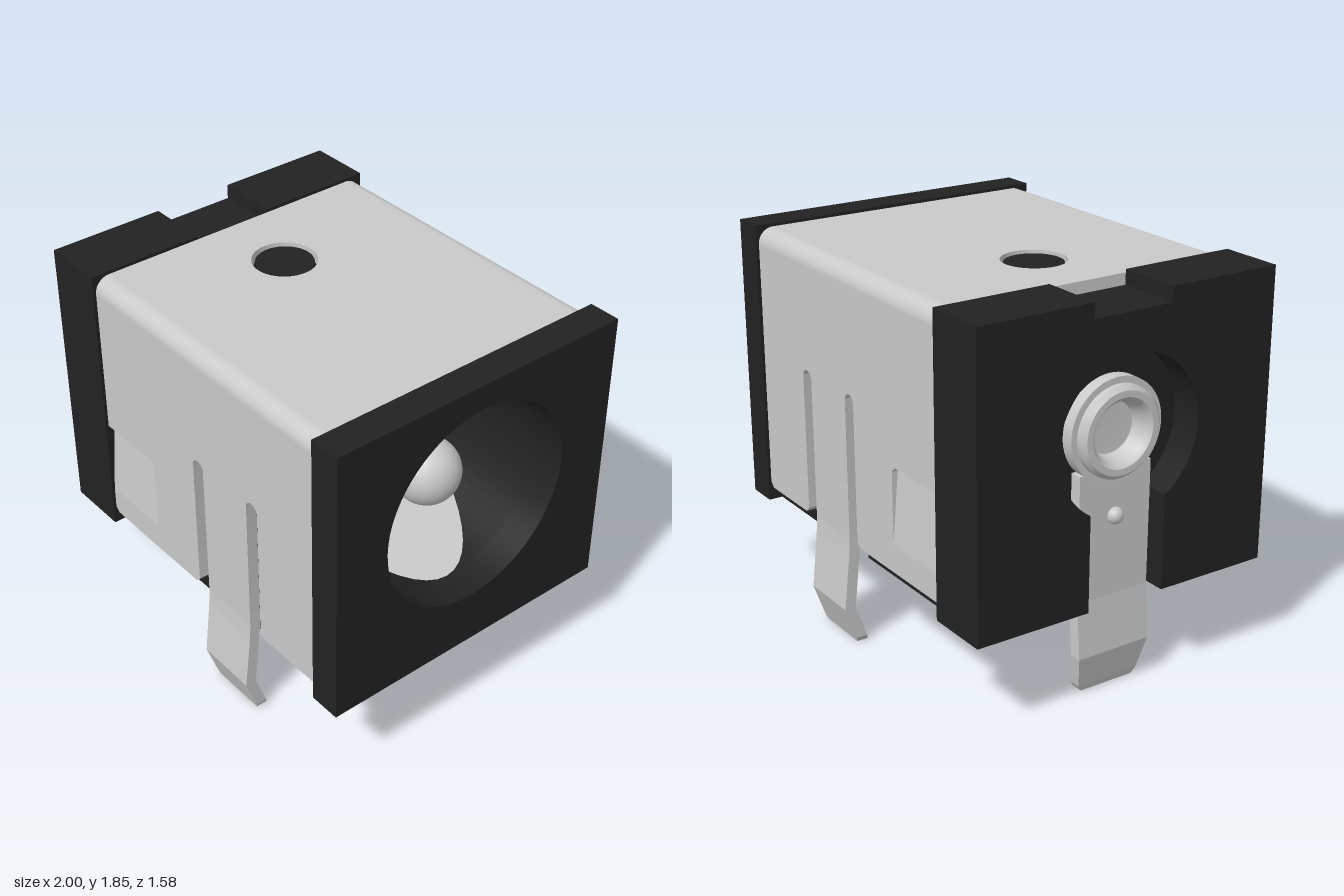
import * as THREE from 'three';
import { toCreasedNormals } from 'three/addons/utils/BufferGeometryUtils.js';

const AXIS_Y = 1.23; // height of the socket axis
const BORE = 0.5;
const SHEET = 0.055; // metal thickness

export function createModel() {
  const model = new THREE.Group();
  const plastic = new THREE.MeshStandardMaterial({ color: 0x222222 });
  plastic.name = 'blackPlastic';
  const metal = new THREE.MeshStandardMaterial({ color: 0xcacaca });
  metal.name = 'palemetal';

  const add = (name, geometry, material, x = 0, y = 0, z = 0) => {
    const mesh = new THREE.Mesh(geometry, material);
    mesh.name = name;
    mesh.position.set(x, y, z);
    model.add(mesh);
    return mesh;
  };
  const poly = (pts) => new THREE.Shape(pts.map(([a, b]) => new THREE.Vector2(a, b)));
  const circle = (x, y, r) => new THREE.Path().absarc(x, y, r, 0, Math.PI * 2, true);
  const extrude = (shape, depth) => toCreasedNormals(
    new THREE.ExtrudeGeometry(shape, { depth, bevelEnabled: false, curveSegments: 32 }), 0.5);
  // cross-section in (z, y) swept along x
  const extrudeX = (shape, x0, x1) => extrude(shape, x1 - x0).rotateY(Math.PI / 2).translate(x0, 0, 0);
  // bent strip; rows run downwards as [y, z offset, half width]
  const strip = (rows, t) => {
    const n = rows.length - 1;
    const g = new THREE.BoxGeometry(1, 1, 1, 1, n, 1);
    const p = g.attributes.position;
    for (let i = 0; i < p.count; i++) {
      const [y, o, hw] = rows[Math.round((0.5 - p.getY(i)) * n)];
      p.setXYZ(i, p.getX(i) * 2 * hw, y, p.getZ(i) * t + o);
    }
    const flat = g.toNonIndexed();
    flat.computeVertexNormals();
    return flat;
  };

  // front plate with the socket opening
  const plate = poly([[-0.77, 0.465], [0.77, 0.465], [0.77, 1.85], [-0.77, 1.85]]);
  plate.holes.push(circle(0, AXIS_Y, BORE));
  add('frontPlate', extrudeX(plate, 0.845, 1), plastic);

  // hollow middle of the housing, its closed end and the raised feet under it
  const core = poly([[-0.7, 0.49], [0.7, 0.49], [0.7, 1.78], [-0.7, 1.78]]);
  core.holes.push(circle(0, AXIS_Y, BORE));
  add('housingCore', extrudeX(core, -0.55, 0.845), plastic);
  add('boreEnd', new THREE.BoxGeometry(0.14, 1.29, 1.4), plastic, -0.62, 1.135, 0);
  add('rearFoot', new THREE.BoxGeometry(0.69, 0.05, 1.4), plastic, -0.345, 0.49, 0);
  add('frontFoot', new THREE.BoxGeometry(0.425, 0.05, 1.4), plastic, 0.6325, 0.49, 0);

  // rear block: grooved on top, with a keyhole recess in its back
  const top = [[0.77, 0.465], [0.77, 1.85], [0.2, 1.85], [0.2, 1.78], [-0.2, 1.78], [-0.2, 1.85], [-0.77, 1.85], [-0.77, 0.465]];
  add('rearBlock', extrudeX(poly(top), -0.845, -0.69), plastic);
  const r = 0.37, a = Math.acos(0.2 / r);
  const keyhole = poly([...top, [-0.2, 0.465]]);
  keyhole.lineTo(-0.2, AXIS_Y - r * Math.sin(a));
  keyhole.absarc(0, AXIS_Y, r, a - Math.PI, -a, true);
  keyhole.lineTo(0.2, 0.465);
  add('rearKeyhole', extrudeX(keyhole, -1, -0.845), plastic);

  // locating peg and the nub in the shell's top hole
  add('pegTip', new THREE.CylinderGeometry(0.115, 0.085, 0.035, 32), plastic, 0.535, 0.2075, 0);
  add('peg', new THREE.CylinderGeometry(0.115, 0.115, 0.275, 32), plastic, 0.535, 0.3625, 0);
  add('topNub', new THREE.CylinderGeometry(0.135, 0.135, 0.07, 40), plastic, -0.3, 1.788, 0);

  // metal shell: top sheet
  const lid = poly([[-0.69, -0.68], [0.845, -0.68], [0.845, 0.68], [-0.69, 0.68]]);
  lid.holes.push(circle(-0.3, 0, 0.15));
  add('shellTop', extrude(lid, SHEET).rotateX(Math.PI / 2), metal, 0, 1.835, 0);

  // metal shell: slotted side sheet with a tab opening
  const side = poly([
    [0.845, 1.76], [-0.69, 1.76], [-0.69, 1.04], [-0.345, 1.04], [-0.32, 1.015], [-0.32, 0.67],
    [-0.69, 0.67], [-0.69, 0.56], [-0.665, 0.535], [-0.025, 0.535], [0, 0.56]]);
  side.lineTo(0, 1.223);
  side.absarc(0.0365, 1.223, 0.0365, Math.PI, 0, true);
  side.lineTo(0.073, 0.52);
  side.lineTo(0.382, 0.52);
  side.lineTo(0.382, 1.223);
  side.absarc(0.42, 1.223, 0.038, Math.PI, 0, true);
  [[0.458, 0.56], [0.483, 0.535], [0.82, 0.535], [0.845, 0.56]].forEach(([x, y]) => side.lineTo(x, y));

  for (const s of [1, -1]) {
    const label = s > 0 ? 'Left' : 'Right';
    const turn = s > 0 ? 0 : Math.PI;
    add('shellSide' + label, extrude(side, SHEET), metal, 0, 0, s > 0 ? 0.7 : -0.755);

    // rounded upper corner
    const from = s > 0 ? Math.PI / 2 : 0;
    const corner = new THREE.Shape();
    corner.absarc(-s * 0.68, 1.76, 0.075, from, from + Math.PI / 2, false);
    corner.absarc(-s * 0.68, 1.76, 0.02, from + Math.PI / 2, from, true);
    add('shellCorner' + label, extrudeX(corner, -0.69, 0.845), metal);

    // pressed-in tab and solder leg
    add('pressedTab' + label, strip([[1.04, 0.695, 0.185], [0.67, 0.7275, 0.185]], SHEET).rotateY(turn), metal, -0.505);
    add('sideLeg' + label, strip([
      [0.54, 0.7275, 0.1545], [0.465, 0.7325, 0.1545], [0.19, 0.7625, 0.1545],
      [0.03, 0.706, 0.1545], [0.003, 0.697, 0.14]], SHEET).rotateY(turn), metal, 0.2275);
  }

  // spring contacts: ramps leaning into the bore, rotated about its axis
  const toRamp = new THREE.Matrix4().makeBasis(
    new THREE.Vector3(0, 0, 1), new THREE.Vector3(1, 0, 0), new THREE.Vector3(0, 1, 0));
  const ramp = (name, rows, angle) =>
    add(name, strip(rows, 0.04).applyMatrix4(toRamp).rotateX(angle), metal, 0, AXIS_Y, 0);
  ramp('lowerContact', [[0.84, -0.52, 0.375], [0.25, -0.3, 0.375], [0.07, -0.3, 0.375]], 0);
  for (const s of [1, -1]) {
    ramp('upperContact', [[0.72, -0.51, 0.173], [0.3, -0.363, 0.173], [0.2, -0.38, 0.173]], s * Math.PI * 0.75);
  }
  add('contactLeg', strip([[0.6, 0.09, 0.14], [0.2, 0.09, 0.14], [0.01, 0.09, 0.095]], SHEET)
    .rotateY(Math.PI / 2), metal);

  // centre pin with its collar
  add('pinCollar', new THREE.CylinderGeometry(0.225, 0.225, 0.15, 48).rotateZ(-Math.PI / 2), metal, -0.48, AXIS_Y, 0);
  add('centrePin', new THREE.CapsuleGeometry(0.155, 1.1, 16, 40).rotateZ(-Math.PI / 2), metal, 0.13, AXIS_Y, 0);

  // rear terminal: round eyelet plate, bent leg, dimple and hollow rivet
  const eyelet = new THREE.Shape().absarc(0, AXIS_Y, 0.24, 0, Math.PI * 2, false);
  eyelet.holes.push(circle(0, AXIS_Y, 0.15));
  add('rearEyelet', extrudeX(eyelet, -0.91, -0.85), metal);
  add('rearLeg', strip([
    [1.06, -0.88, 0.19], [0.465, -0.878, 0.19], [0.2, -0.9, 0.19],
    [0.04, -0.859, 0.16], [0.01, -0.85, 0.14]], 0.06).rotateY(Math.PI / 2), metal);
  add('rearDimple', new THREE.SphereGeometry(0.04, 20, 12), metal, -0.91, 0.84, 0);
  const rivet = [[0.21, -0.01], [0.21, 0.025], [0.19, 0.045], [0.16, 0.045], [0.14, 0.025], [0.12, -0.05], [0, -0.055]];
  add('rearRivet', toCreasedNormals(new THREE.LatheGeometry(rivet.map(([x, y]) => new THREE.Vector2(x, y)), 48), 0.6)
    .rotateZ(Math.PI / 2), metal, -0.91, AXIS_Y, 0);

  return model;
}
